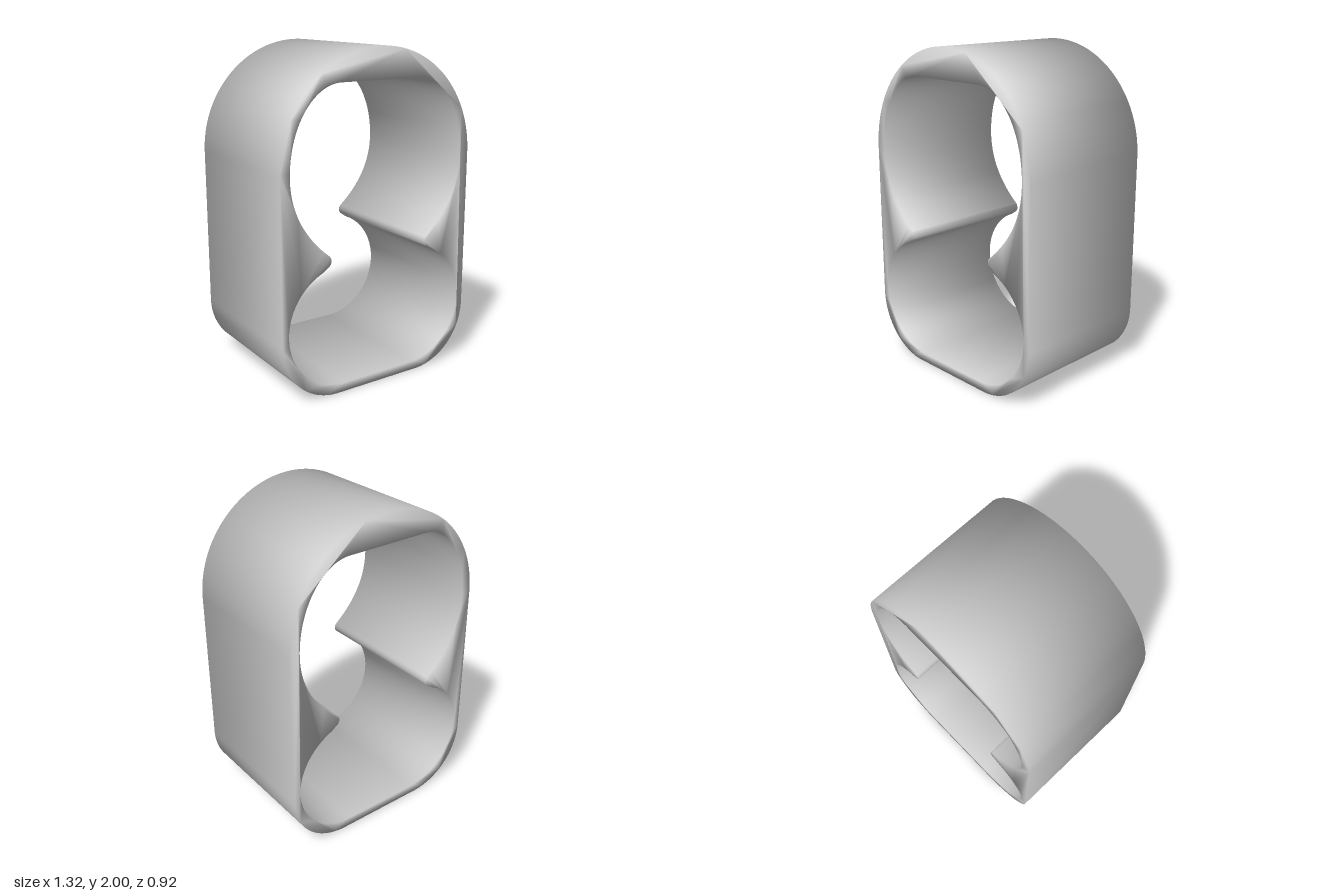
import * as THREE from 'three';

// Mirror a half outline (running from bottom to top on +x) into a full closed one
function mirrored(half) {
  const pts = half.getPoints(28);
  const left = pts.filter((p) => p.x > 1e-4).map((p) => new THREE.Vector2(-p.x, p.y)).reverse();
  return pts.concat(left);
}

// Angle-weighted normals shared by all faces meeting at a point, so rims shade softly
function softNormals(geometry) {
  const pos = geometry.attributes.position;
  const sums = new Map();
  const key = (v) => `${v.x.toFixed(4)},${v.y.toFixed(4)},${v.z.toFixed(4)}`;
  const at = (i) => new THREE.Vector3().fromBufferAttribute(pos, i);
  for (let i = 0; i < pos.count; i += 3) {
    const c = [at(i), at(i + 1), at(i + 2)];
    const n = new THREE.Triangle(...c).getNormal(new THREE.Vector3());
    c.forEach((v, k) => {
      const a = c[(k + 1) % 3].clone().sub(v);
      const b = c[(k + 2) % 3].clone().sub(v);
      const id = key(v);
      if (!sums.has(id)) sums.set(id, new THREE.Vector3());
      sums.get(id).addScaledVector(n, a.angleTo(b));
    });
  }
  for (let i = 0; i < pos.count; i++) {
    const n = sums.get(key(at(i))).clone().normalize();
    geometry.attributes.normal.setXYZ(i, n.x, n.y, n.z);
  }
  return geometry;
}

export function createModel() {
  const group = new THREE.Group();
  const depth = 0.92;

  // Outer outline: rounded lower corners, straight sides, round top
  const outer = new THREE.Path();
  outer.moveTo(0.29, 0);
  outer.absarc(0.29, 0.37, 0.37, -Math.PI / 2, 0, false);
  outer.absarc(0, 1.34, 0.66, 0, Math.PI / 2, false);

  // Opening: lower bulge, rounded ridge, upper bulge and flat ceiling
  const inner = new THREE.Path();
  inner.moveTo(0.25, 0.055);
  inner.absarc(0.25, 0.425, 0.37, -Math.PI / 2, 1.18, false);
  inner.absarc(0.377, 0.825, 0.04, -1.9, -4.0, true);
  inner.quadraticCurveTo(0.6, 1.06, 0.6, 1.33);
  inner.absellipse(0.27, 1.33, 0.33, 0.485, 0, Math.PI / 2, false, 0);

  const shape = new THREE.Shape(mirrored(outer));
  shape.holes.push(new THREE.Path(mirrored(inner)));

  const geometry = new THREE.ExtrudeGeometry(shape, { depth, bevelEnabled: false });
  geometry.translate(0, 0, -depth / 2);

  const body = new THREE.Mesh(
    softNormals(geometry),
    new THREE.MeshStandardMaterial({ color: 0xcccccc })
  );
  body.name = 'pinchedSleeve';
  group.add(body);
  return group;
}
